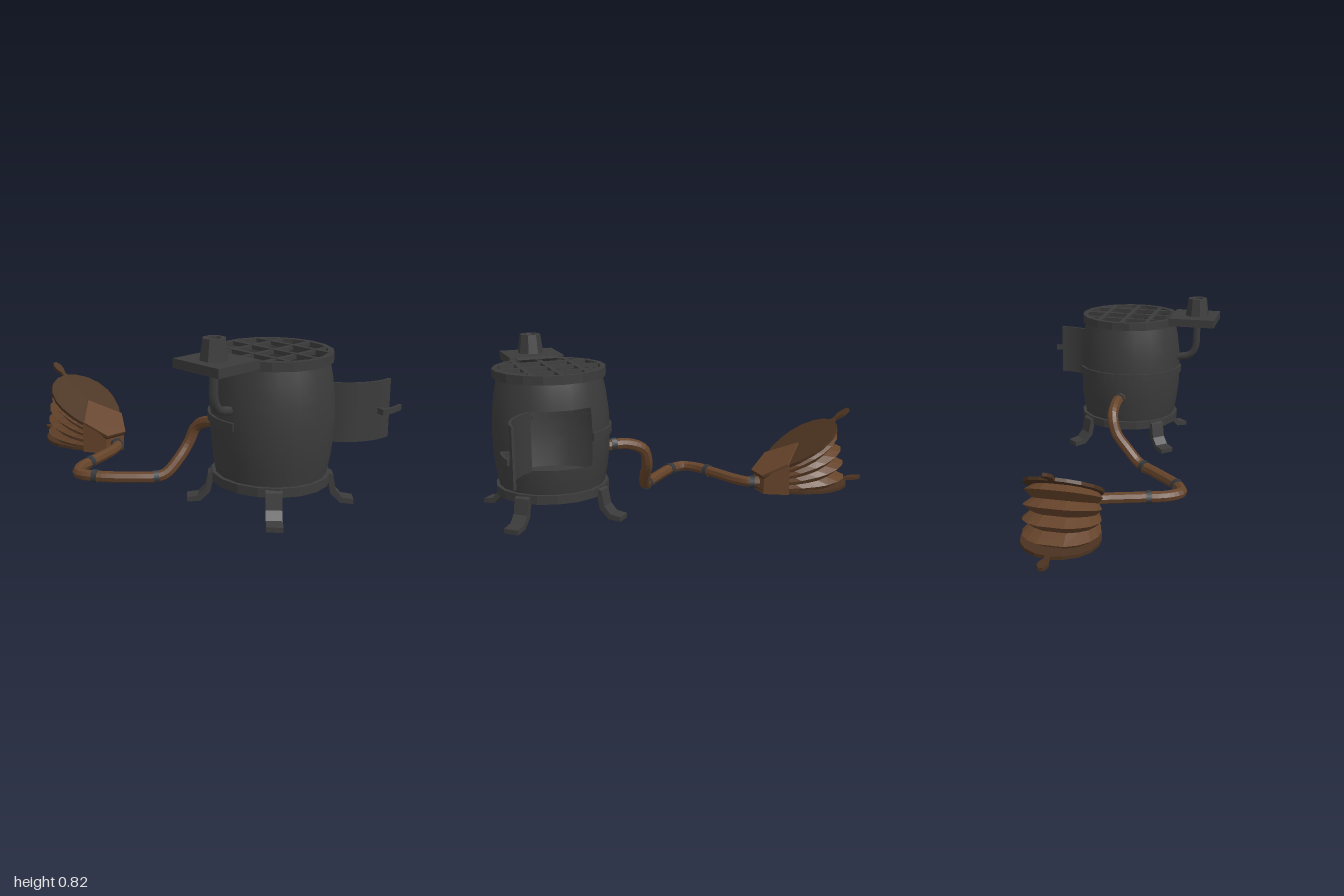
import * as THREE from 'three';

const rad = THREE.MathUtils.degToRad;
const mat = (color, flatShading = false) =>
  new THREE.MeshStandardMaterial({ color, flatShading, side: THREE.DoubleSide });
const iron = mat(0x3b3b3b), ironFlat = mat(0x3b3b3b, true), clampMat = mat(0x33383d);
const wood = mat(0x4a321f, true), leather = mat(0x65432a, true);

function add(parent, name, geo, material, x = 0, y = 0, z = 0) {
  const m = new THREE.Mesh(geo, material);
  m.name = name;
  m.position.set(x, y, z);
  parent.add(m);
  return m;
}

// Curved plate or ring: angle 0 is +x, 90 is +z
function arcShell(r0, r1, a0, a1, y0, y1) {
  const s = new THREE.Shape();
  s.absarc(0, 0, r1, rad(a0), rad(a1), false);
  if (a1 - a0 >= 360) {
    const hole = new THREE.Path();
    hole.absarc(0, 0, r0, 0, Math.PI * 2, true);
    s.holes.push(hole);
  } else s.absarc(0, 0, r0, rad(a1), rad(a0), true);
  const g = new THREE.ExtrudeGeometry(s, { depth: y1 - y0, bevelEnabled: false, curveSegments: 9 });
  return g.rotateX(Math.PI / 2).translate(0, y1, 0);
}

// Flat board: shape x stays x, shape y runs to -z
function board(points, depth) {
  const s = new THREE.Shape(points.map(p => new THREE.Vector2(...p)));
  return new THREE.ExtrudeGeometry(s, { depth, bevelEnabled: false }).rotateX(-Math.PI / 2);
}
const mirrored = half => [...half, ...half.filter(p => p[0] > 0).reverse().map(([x, y]) => [-x, y])];

function buildStove() {
  const g = new THREE.Group();
  g.name = 'stove';
  g.position.set(-0.025, 0, 0.67);

  // Barrel wall, leaving a doorway in the +x side
  const radius = y => 0.27 - 0.028 * ((y - 0.43) / 0.25) ** 2;
  const wall = (y0, y1, p0, len, n) => {
    const pts = [];
    for (let i = 0; i <= 6; i++) {
      const y = y0 + (y1 - y0) * i / 6;
      pts.push(new THREE.Vector2(radius(y), y));
    }
    add(g, 'barrelWall', new THREE.LatheGeometry(pts, n, rad(p0), rad(len)), iron);
  };
  wall(0.17, 0.70, 118, 298, 15);
  wall(0.17, 0.30, 56, 62, 3);
  wall(0.565, 0.70, 56, 62, 3);

  // Base, top rim and strap around the back
  add(g, 'base', new THREE.CylinderGeometry(0.26, 0.26, 0.04, 18), ironFlat, 0, 0.165, 0);
  add(g, 'topRim', arcShell(0.232, 0.258, 0, 360, 0.68, 0.72), ironFlat);
  add(g, 'strap', arcShell(0.266, 0.278, 174, 332, 0.415, 0.45), ironFlat);

  // Grill bars
  for (const o of [-0.125, 0, 0.125]) {
    const len = 2 * Math.sqrt(0.245 ** 2 - o * o);
    add(g, 'grillBar', new THREE.BoxGeometry(0.022, 0.018, len), ironFlat, o, 0.712, 0);
    add(g, 'grillBar', new THREE.BoxGeometry(len, 0.018, 0.022), ironFlat, 0, 0.71, o);
  }

  // Bent strip legs
  const outer = [[0.24, 0.185], [0.272, 0.17], [0.285, 0.1], [0.315, 0.066], [0.365, 0.058]];
  const inner = [[0.365, 0.036], [0.305, 0.042], [0.262, 0.085], [0.25, 0.145]];
  const legShape = new THREE.Shape([...outer, ...inner].map(p => new THREE.Vector2(...p)));
  for (let i = 0; i < 4; i++) {
    const geo = new THREE.ExtrudeGeometry(legShape, { depth: 0.07, bevelEnabled: false }).translate(0, 0, -0.035);
    add(g, 'leg', geo, ironFlat).rotation.y = rad(45 + 90 * i);
  }

  // Open curved door, hinged at the front edge of the doorway
  const hx = 0.266 * Math.cos(rad(34)), hz = 0.266 * Math.sin(rad(34));
  const door = new THREE.Group();
  door.name = 'door';
  door.position.set(hx, 0, hz);
  door.rotation.y = rad(-114);
  add(door, 'doorPanel', arcShell(0.262, 0.274, -28, 34, 0.298, 0.565), ironFlat, -hx, 0, -hz);
  add(door, 'doorHandle', arcShell(0.3, 0.312, -36, -11, 0.418, 0.444), ironFlat, -hx, 0, -hz);
  add(door, 'handlePost', arcShell(0.27, 0.305, -16, -11, 0.418, 0.444), ironFlat, -hx, 0, -hz);
  g.add(door);

  // Side tray with its wedge bracket onto the rim
  add(g, 'tray', new THREE.BoxGeometry(0.235, 0.04, 0.26), ironFlat, -0.3475, 0.71, 0);
  const bracket = new THREE.Shape([[-0.232, 0.69], [-0.205, 0.72], [-0.232, 0.73]].map(p => new THREE.Vector2(...p)));
  add(g, 'trayBracket', new THREE.ExtrudeGeometry(bracket, { depth: 0.2, bevelEnabled: false }), ironFlat, 0, 0, -0.1);

  // Octagonal chimney cup
  const cup = [[0, 0.73], [0.062, 0.73], [0.05, 0.82], [0.03, 0.82], [0.024, 0.75], [0, 0.75]];
  add(g, 'chimneyCup', new THREE.LatheGeometry(cup.map(p => new THREE.Vector2(...p)), 8, Math.PI / 8), ironFlat, -0.36, 0, 0);

  // Elbow pipe from tray to barrel
  const elbow = new THREE.CatmullRomCurve3([[-0.36, 0.7], [-0.36, 0.62], [-0.357, 0.56], [-0.33, 0.515], [-0.255, 0.497]]
    .map(([x, y]) => new THREE.Vector3(x, y, 0)));
  add(g, 'elbowPipe', new THREE.TubeGeometry(elbow, 10, 0.02, 6), iron);
  return g;
}

function buildHose() {
  const g = new THREE.Group();
  g.name = 'hose';
  const path = new THREE.CatmullRomCurve3([
    [-0.03, 0.32, 0.42], [-0.03, 0.32, 0.3], [-0.035, 0.28, 0.215], [-0.06, 0.2, 0.19], [-0.12, 0.125, 0.18],
    [-0.19, 0.06, 0.155], [-0.3, 0.05, 0.06], [-0.42, 0.05, -0.07], [-0.453, 0.05, -0.15], [-0.4, 0.05, -0.21],
    [-0.28, 0.05, -0.255], [-0.1, 0.05, -0.32], [-0.04, 0.05, -0.365], [-0.03, 0.05, -0.42],
  ].map(p => new THREE.Vector3(...p)));
  add(g, 'hoseTube', new THREE.TubeGeometry(path, 64, 0.027, 8), leather);
  // Clamps along the hose
  for (const u of [0.035, 0.37, 0.57, 0.75, 0.965]) {
    const c = add(g, 'hoseClamp', new THREE.CylinderGeometry(0.032, 0.032, 0.025, 8), clampMat);
    c.position.copy(path.getPointAt(u));
    c.quaternion.setFromUnitVectors(new THREE.Vector3(0, 1, 0), path.getTangentAt(u));
  }
  return g;
}

function buildBellows() {
  const g = new THREE.Group();
  g.name = 'bellows';
  g.position.set(-0.025, 0, -0.4);
  const half = [[0.06, 0], [0.1, 0.09], [0.15, 0.18], [0.172, 0.26], [0.174, 0.32], [0.155, 0.39], [0.115, 0.445], [0.06, 0.48]];
  const handle = [[0.014, 0.49], [0.01, 0.51], [0.023, 0.55], [0.022, 0.575], [0.01, 0.6]];
  const outline = mirrored([...half, ...handle]);

  // Two paddle boards, the upper one raised
  add(g, 'lowerBoard', board(outline, 0.015), wood, 0, 0.004, 0);
  const lid = new THREE.Group();
  lid.name = 'upperLid';
  lid.position.y = 0.08;
  lid.rotation.x = rad(30);
  add(lid, 'upperBoard', board(outline, 0.015), wood);
  add(lid, 'lidFlap', board(mirrored([[0.06, 0], [0.127, 0.127], [0, 0.27]]), 0.012), leather, 0, 0.013, 0);
  g.add(lid);

  // Wedge-shaped nozzle block
  const block = board(mirrored([[0.06, 0], [0.125, 0.11]]), 1);
  const p = block.attributes.position;
  for (let i = 0; i < p.count; i++)
    p.setY(i, p.getY(i) > 0.5 ? 0.095 - 0.577 * p.getZ(i) : 0.002);
  block.computeVertexNormals();
  add(g, 'nozzleBlock', block, leather);

  // Pleated leather: fan of outlines alternating valley and ridge
  const loop = mirrored(half), n = loop.length, layers = 8, pos = [], idx = [];
  for (let j = 0; j <= layers; j++) {
    const t = j / layers, a = rad(30 * t), k = j % 2 ? 0.97 : 0.83;
    for (const [x, s] of loop)
      pos.push(x * k, 0.015 + 0.068 * t + s * k * Math.sin(a), -s * k * Math.cos(a));
  }
  for (let j = 0; j < layers; j++)
    for (let i = 0; i < n; i++) {
      const a = j * n + i, b = j * n + (i + 1) % n;
      idx.push(a, b, b + n, a, b + n, a + n);
    }
  const pleats = new THREE.BufferGeometry();
  pleats.setAttribute('position', new THREE.Float32BufferAttribute(pos, 3));
  pleats.setIndex(idx);
  pleats.computeVertexNormals();
  add(g, 'pleats', pleats, leather);
  return g;
}

export function createModel() {
  const model = new THREE.Group();
  model.name = 'stoveWithBellows';
  model.add(buildStove(), buildHose(), buildBellows());
  return model;
}
